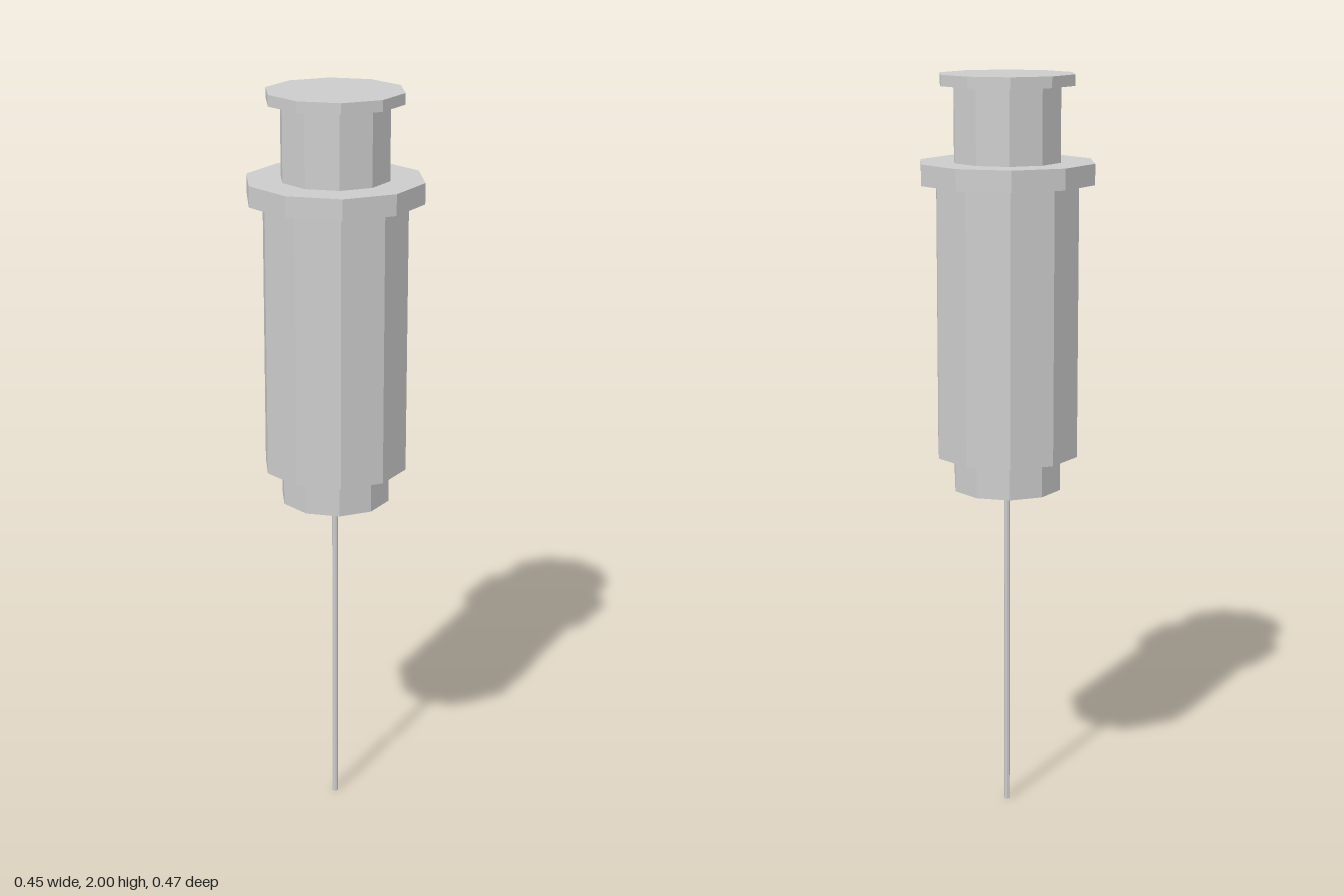
import * as THREE from 'three';

const SIDES = 10;

export function createModel() {
  const model = new THREE.Group();
  const material = new THREE.MeshStandardMaterial({ color: 0xcccccc, flatShading: true });

  // Ten-sided prism with a corner facing the front, spanning two heights
  function addPrism(name, radius, bottom, top) {
    const geometry = new THREE.CylinderGeometry(radius, radius, top - bottom, SIDES);
    const mesh = new THREE.Mesh(geometry, material);
    mesh.name = name;
    mesh.position.y = (bottom + top) / 2;
    model.add(mesh);
  }

  // Stacked from the tip upwards
  addPrism('needle', 0.008, 0, 0.903);
  addPrism('needleHub', 0.147, 0.903, 0.997);
  addPrism('barrel', 0.193, 0.997, 1.72);
  addPrism('fingerFlange', 0.235, 1.72, 1.775);
  addPrism('plungerRod', 0.144, 1.775, 1.971);
  addPrism('thumbRest', 0.181, 1.971, 2);

  return model;
}
